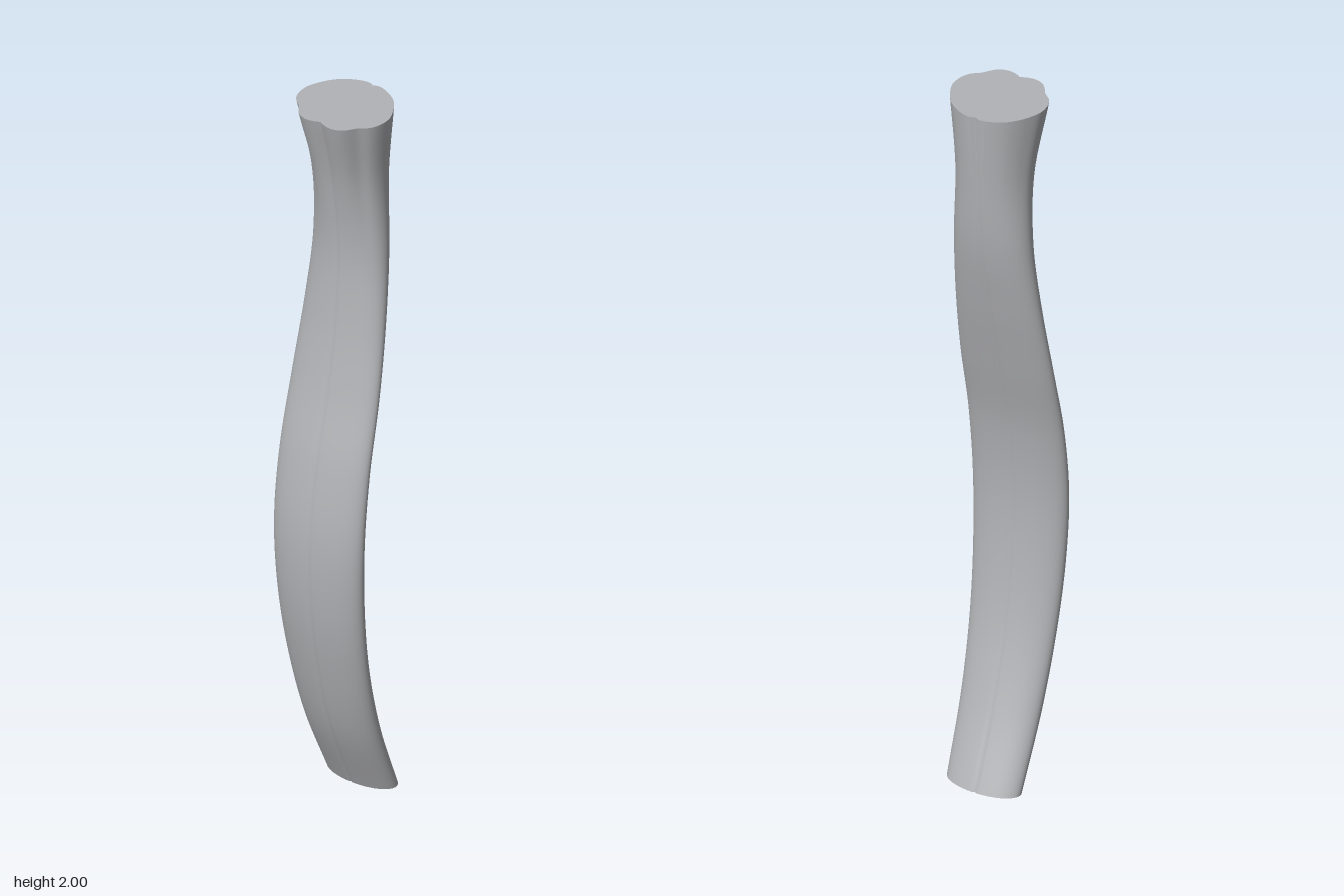
import * as THREE from 'three';

// Stations every 0.2 in height: [front z, back z, half width]
const STATIONS = [
  [-0.04, -0.138, 0.105], [0.047, -0.06, 0.113], [0.101, -0.002, 0.122],
  [0.133, 0.029, 0.131], [0.138, 0.038, 0.137], [0.111, 0.02, 0.137],
  [0.065, -0.024, 0.133], [0.032, -0.07, 0.122], [0.02, -0.108, 0.109],
  [0.044, -0.125, 0.104], [0.096, -0.137, 0.128],
];
// Half outline of the lobed top end, from front notch to back notch: [x, z]
const LOBES = [
  [0, 0.084], [0.015, 0.091], [0.04, 0.095], [0.065, 0.086], [0.08, 0.07],
  [0.092, 0.053], [0.115, 0.033], [0.126, 0.01], [0.128, -0.03],
  [0.113, -0.067], [0.1, -0.088], [0.08, -0.11], [0.055, -0.126],
  [0.025, -0.137], [0.01, -0.137], [0, -0.132],
];
const HALF = 48;
const ROWS = 80;

// Full outline scaled to a unit circle, as [angle, radius]
function unitOutline() {
  const curve = new THREE.CatmullRomCurve3(
    LOBES.map(([x, z]) => new THREE.Vector3(x / 0.128, 0, (z + 0.0205) / 0.1165)), false, 'centripetal');
  const half = curve.getSpacedPoints(HALF).map((p) => [Math.atan2(p.x, p.z), Math.hypot(p.x, p.z)]);
  half[0][0] = 0;
  half[HALF][0] = Math.PI;
  const mirrored = half.slice(1, HALF).reverse().map(([a, r]) => [-a, r]);
  return [...half, ...mirrored];
}

// Ring of points at height fraction t: an oval that turns lobed at the top
function ring(path, outline, t) {
  const s = path.getPoint(t);
  const mid = (s.x + s.y) / 2;
  const depth = (s.x - s.y) / 2;
  const lobed = THREE.MathUtils.smoothstep(t, 0.75, 1);
  return outline.map(([a, r], i) => {
    const k = THREE.MathUtils.lerp(1, r, lobed);
    const groove = i % HALF === 0 ? 0.004 * (1 - lobed) : 0;
    return new THREE.Vector3(
      Math.sin(a) * k * s.z, 2 * t,
      mid + Math.cos(a) * (k * depth - groove));
  });
}

export function createModel() {
  const group = new THREE.Group();
  group.name = 'curvedHandle';
  const grey = new THREE.MeshStandardMaterial({ color: 0xb2b3b6, side: THREE.DoubleSide });
  grey.name = 'grey';

  const path = new THREE.CatmullRomCurve3(
    STATIONS.map((s) => new THREE.Vector3(...s)), false, 'catmullrom', 0.5);
  const outline = unitOutline();
  const n = outline.length;

  // Shaft: lofted tube, open at the lower end
  const points = [];
  const index = [];
  for (let j = 0; j <= ROWS; j++) {
    points.push(...ring(path, outline, j / ROWS));
    if (j === ROWS) break;
    for (let i = 0; i < n; i++) {
      const a = j * n + i;
      const b = j * n + (i + 1) % n;
      index.push(a, b, b + n, a, b + n, a + n);
    }
  }
  const shaftGeometry = new THREE.BufferGeometry().setFromPoints(points);
  shaftGeometry.setIndex(index);
  shaftGeometry.computeVertexNormals();
  const shaft = new THREE.Mesh(shaftGeometry, grey);
  shaft.name = 'shaft';
  group.add(shaft);

  // Flat lobed top end
  const capShape = new THREE.Shape(
    ring(path, outline, 1).map((p) => new THREE.Vector2(p.x, -p.z)));
  const cap = new THREE.Mesh(new THREE.ShapeGeometry(capShape).rotateX(-Math.PI / 2), grey);
  cap.position.y = 2;
  cap.name = 'topEnd';
  group.add(cap);

  return group;
}
